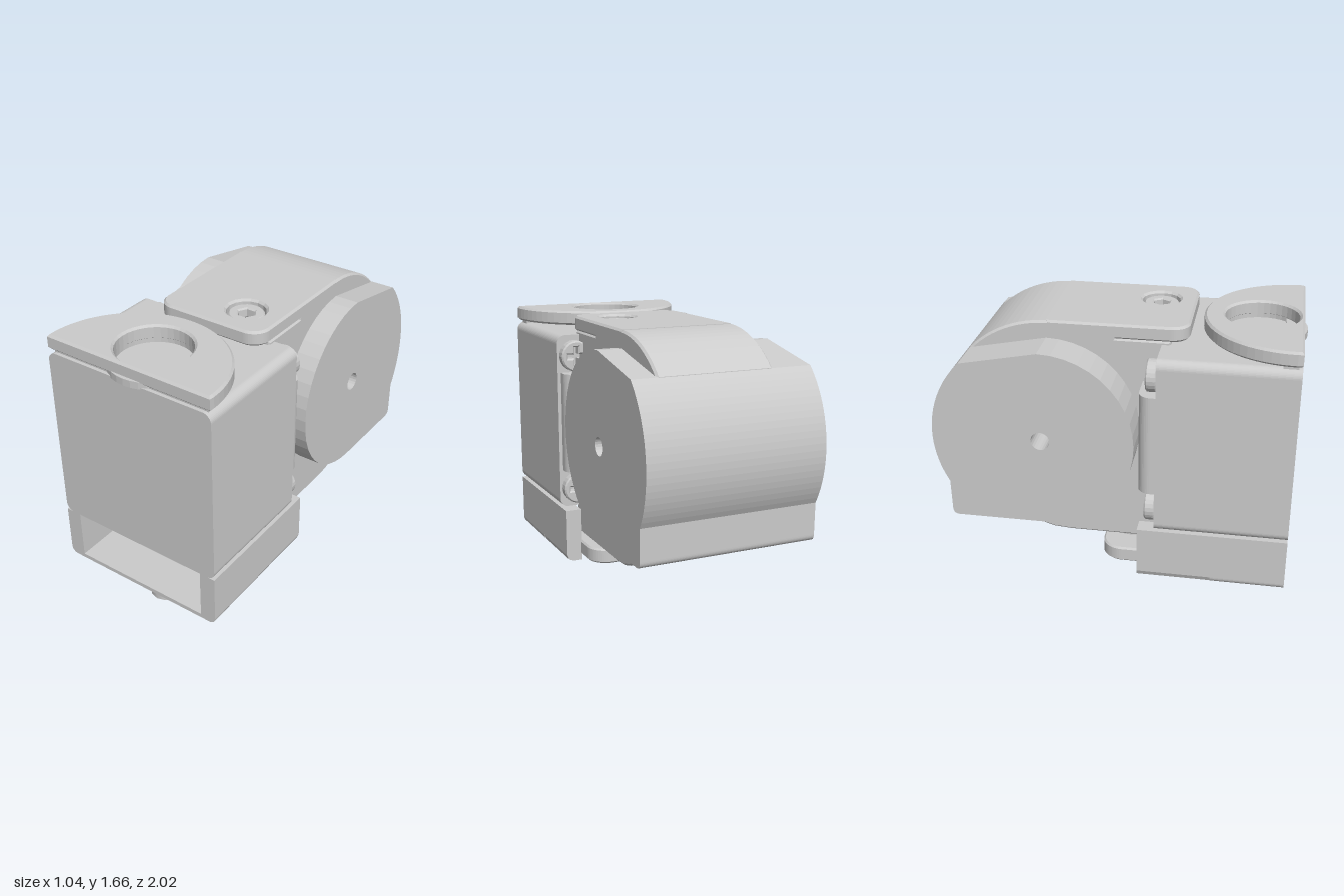
import * as THREE from 'three';

const mat = new THREE.MeshStandardMaterial({ color: 0xcccccc });
const PI = Math.PI;

function shapeOf(points) {
  return new THREE.Shape(points.map(([a, b]) => new THREE.Vector2(a, b)));
}

function hole(x, y, r) {
  return new THREE.Path().absarc(x, y, r, 0, PI * 2, true);
}

// Rectangle with separate radii for its lower and upper corners
function roundRect(x0, y0, x1, y1, lo, hi) {
  const s = new THREE.Shape();
  s.moveTo(x0 + lo, y0).lineTo(x1 - lo, y0);
  if (lo) s.absarc(x1 - lo, y0 + lo, lo, -PI / 2, 0);
  s.lineTo(x1, y1 - hi);
  if (hi) s.absarc(x1 - hi, y1 - hi, hi, 0, PI / 2);
  s.lineTo(x0 + hi, y1);
  if (hi) s.absarc(x0 + hi, y1 - hi, hi, PI / 2, PI);
  s.lineTo(x0, y0 + lo);
  if (lo) s.absarc(x0 + lo, y0 + lo, lo, PI, PI * 1.5);
  return s;
}

// Extrusion from 0 to depth, with an inset bevel that keeps the outline size
function extrude(shape, depth, bevel = 0, seg = 12) {
  const g = new THREE.ExtrudeGeometry(shape, {
    depth: depth - 2 * bevel, curveSegments: seg, bevelEnabled: bevel > 0,
    bevelSize: bevel, bevelOffset: -bevel, bevelThickness: bevel, bevelSegments: 1,
  });
  return g.translate(0, 0, bevel);
}

// Shape in (x, y), spanning z0..z1
const alongZ = (s, z0, z1, b, seg) => extrude(s, z1 - z0, b, seg).translate(0, 0, z0);
// Shape in (z, y), spanning x0..x1
const alongX = (s, x0, x1, b, seg) => extrude(s, x1 - x0, b, seg).rotateY(-PI / 2).translate(x1, 0, 0);
// Shape in (x, -z), spanning y0..y1
const alongY = (s, y0, y1, b, seg) => extrude(s, y1 - y0, b, seg).rotateX(-PI / 2).translate(0, y0, 0);

// Screw head facing +z with a hexagonal or cross-shaped recess
function screwHead(r, depth, cross) {
  const s = new THREE.Shape().absarc(0, 0, r, 0, PI * 2);
  const pts = [];
  if (cross) {
    const a = r * 0.14, b = r * 0.6;
    for (let i = 0; i < 4; i++) {
      const c = Math.round(Math.cos(i * PI / 2)), d = Math.round(Math.sin(i * PI / 2));
      for (const [u, v] of [[b, -a], [b, a], [a, a]]) pts.push(new THREE.Vector2(u * c - v * d, u * d + v * c));
    }
  } else {
    for (let i = 0; i < 6; i++) pts.push(new THREE.Vector2(Math.cos(i * PI / 3), Math.sin(i * PI / 3)).multiplyScalar(r * 0.5));
  }
  s.holes.push(new THREE.Path(pts.reverse()));
  return extrude(s, depth, 0.008, 12);
}

export function createModel() {
  const root = new THREE.Group();
  const add = (name, geometry) => {
    const m = new THREE.Mesh(geometry, mat);
    m.name = name;
    root.add(m);
    return m;
  };

  // Main housing
  add('housing', alongZ(roundRect(-0.52, 0.52, 0.52, 1.56, 0.05, 0.05), 0.25, 1, 0, 5));
  add('housingBackRib', alongY(roundRect(-0.5, -0.27, 0.5, -0.15, 0, 0.07), 0.75, 1.34, 0, 5));

  // Half-round mounting tab with a recess
  const tab = new THREE.Shape();
  tab.moveTo(-0.515, -1).lineTo(0.515, -1);
  tab.absarc(0, -0.97, 0.518, 0, PI);
  tab.holes.push(hole(0, -0.77, 0.205));
  add('topTab', alongY(tab, 1.575, 1.66, 0.012, 18));
  add('topTabSeat', alongY(roundRect(-0.49, -0.98, 0.49, -0.9, 0, 0), 1.55, 1.58));
  const collar = new THREE.Shape().absarc(0, -0.77, 0.25, 0, PI * 2);
  collar.holes.push(hole(0, -0.77, 0.207));
  add('topTabCollar', alongY(collar, 1.55, 1.59, 0, 18));

  // Rotating hub with a pierced axle and a rounded back
  const hub = new THREE.Shape();
  hub.moveTo(-0.385, 0.52);
  hub.absarc(-0.385, 1.04, 0.52, -PI / 2, PI / 2);
  hub.absarc(-0.385, 1.04, 0.615, PI * 0.75, PI + 0.509);
  hub.lineTo(-0.92, 0.56);
  hub.quadraticCurveTo(-0.92, 0.52, -0.88, 0.52);
  hub.holes.push(hole(-0.385, 1.04, 0.053));
  add('hub', alongX(hub, -0.52, 0.52, 0, 11));

  // Central arm between the hub faces
  const arm = new THREE.Shape();
  arm.moveTo(0.3, 1.58).lineTo(0, 1.58).lineTo(0, 1.66).lineTo(-0.385, 1.66);
  arm.absarc(-0.385, 1.04, 0.617, PI / 2, PI * 0.75);
  for (const [z, y] of [[-0.86, 0.525], [-0.47, 0.365], [-0.38, 0.338], [-0.28, 0.33], [0.3, 0.33]]) arm.lineTo(z, y);
  arm.holes.push(hole(-0.385, 1.04, 0.053));
  add('arm', alongX(arm, -0.29, 0.38, 0.012, 6));

  // Upper arm tab with two recessed bolts
  const armTab = roundRect(-0.29, -0.395, 0.38, 0.05, 0.1, 0);
  for (const x of [-0.165, 0.16]) armTab.holes.push(hole(x, -0.19, 0.11));
  add('upperArmTab', alongY(armTab, 1.575, 1.66, 0.012, 8));
  for (const x of [-0.165, 0.16]) {
    add('upperBolt', screwHead(0.1, 0.06, false).rotateX(-PI / 2).translate(x, 1.58, 0.19));
  }

  // Lower arm tab, with two stepped blocks under the housing
  add('lowerArmTab', alongY(roundRect(-0.29, -0.395, 0.38, 0, 0.1, 0), 0.33, 0.43, 0.012, 8));
  for (const [x0, x1] of [[-0.29, -0.085], [0.08, 0.38]]) {
    add('lowerArmBlock', alongY(roundRect(x0, -0.36, x1, -0.2, 0.04, 0), 0.42, 0.525, 0, 4));
  }

  // Open bracket under the housing: front U section and longer side walls
  const u = new THREE.Shape();
  u.moveTo(-0.48, 0.2).lineTo(0.48, 0.2);
  u.absarc(0.48, 0.24, 0.04, -PI / 2, 0);
  for (const [x, y] of [[0.52, 0.52], [0.425, 0.52], [0.425, 0.225], [-0.425, 0.225], [-0.425, 0.52], [-0.52, 0.52]]) u.lineTo(x, y);
  u.absarc(-0.48, 0.24, 0.04, PI, PI * 1.5);
  add('bracketFront', alongZ(u, 0.58, 1, 0, 4));
  for (const s of [-1, 1]) {
    const wall = shapeOf([[0.425, 0.2], [0.48, 0.2], [0.508, 0.212], [0.52, 0.24], [0.52, 0.52], [0.425, 0.52]]
      .map(([x, y]) => [x * s, y]));
    add(s > 0 ? 'bracketWallLeft' : 'bracketWallRight', alongZ(wall, 0.155, 0.59));
  }

  // Rear bracket flange with two screws beneath
  const flange = roundRect(-0.43, -0.42, 0.43, 0.07, 0, 0.12);
  for (const x of [-0.17, 0.17]) flange.holes.push(hole(x, -0.09, 0.105));
  add('bracketFlange', alongY(flange, 0.235, 0.325, 0.01, 8));
  for (const x of [-0.17, 0.17]) {
    add('lowerScrew', screwHead(0.095, 0.085, true).rotateX(PI / 2).translate(x, 0.33, 0.09));
  }

  // Locating pin
  add('pin', new THREE.CylinderGeometry(0.095, 0.095, 0.21, 12).translate(0, 0.105, 0.775));

  // Housing screws facing the back
  for (const x of [-0.42, 0.42]) for (const y of [0.64, 1.44]) {
    add('housingScrew', screwHead(0.09, 0.06, true).rotateY(PI).translate(x, y, 0.25));
  }

  return root;
}
